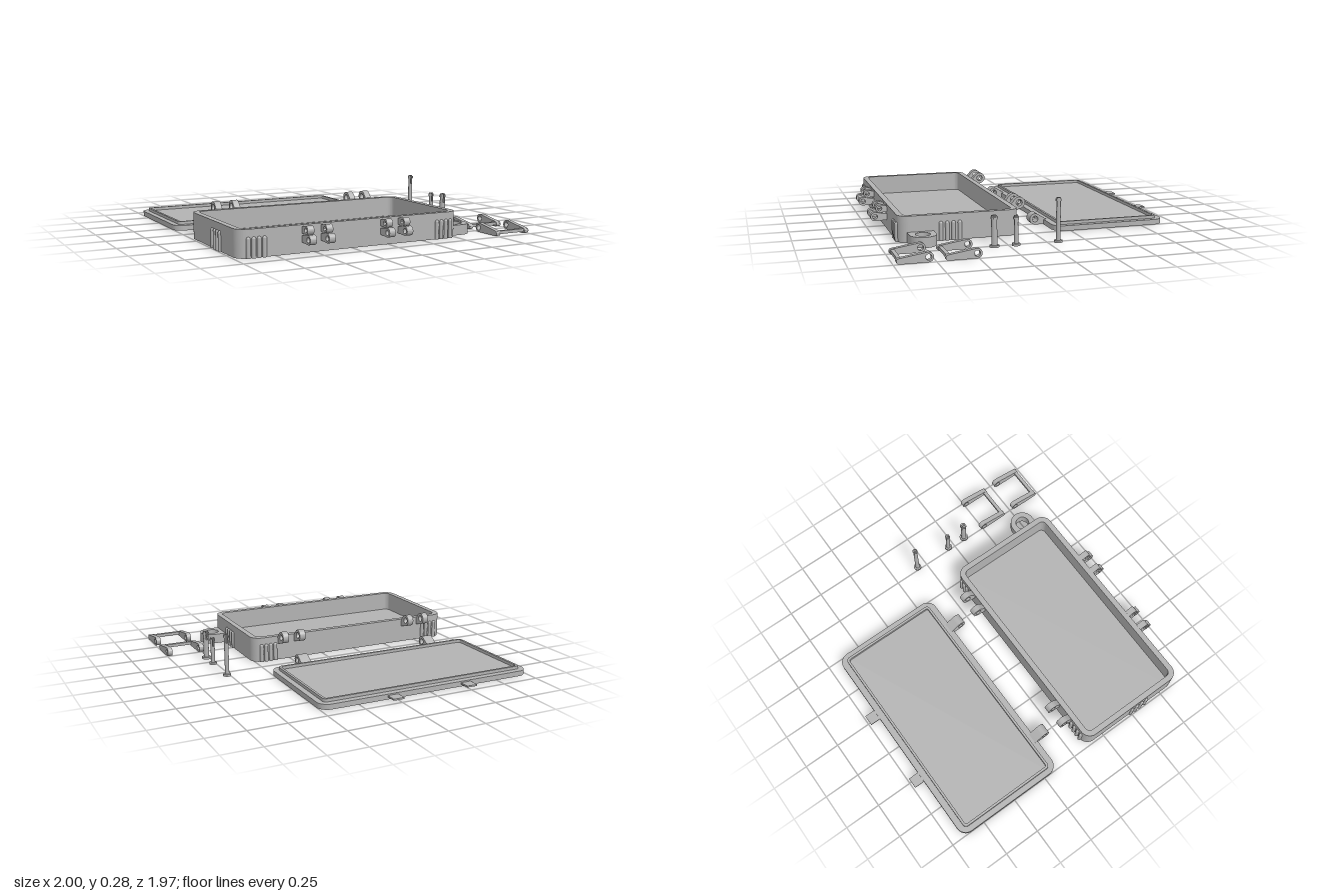
import * as THREE from 'three';
import { toCreasedNormals } from 'three/addons/utils/BufferGeometryUtils.js';

export function createModel() {
  const model = new THREE.Group();
  const grey = new THREE.MeshStandardMaterial({ color: 0xb2b2b2 });
  grey.name = 'grey plastic';

  const add = (parent, name, geometry, x = 0, y = 0, z = 0) => {
    const mesh = new THREE.Mesh(geometry, grey);
    mesh.name = name;
    mesh.position.set(x, y, z);
    parent.add(mesh);
    return mesh;
  };
  const group = (name, x = 0, y = 0, z = 0) => {
    const g = new THREE.Group();
    g.name = name;
    g.position.set(x, y, z);
    model.add(g);
    return g;
  };
  const extrude = (shape, depth) =>
    new THREE.ExtrudeGeometry(shape, { depth, bevelEnabled: false, curveSegments: 16 });
  // plan outline raised upward
  const rise = (shape, h) => toCreasedNormals(extrude(shape, h).rotateX(-Math.PI / 2), 0.6);
  // side outline (z, y) spanning x0..x1
  const span = (shape, x0, x1) =>
    toCreasedNormals(extrude(shape, x1 - x0).rotateY(-Math.PI / 2).translate(x1, 0, 0), 0.6);

  function roundRect(w, d, r) {
    const s = new THREE.Shape(), x = w / 2 - r, y = d / 2 - r, q = Math.PI / 2;
    s.absarc(x, y, r, 0, q);
    s.absarc(-x, y, r, q, 2 * q);
    s.absarc(-x, -y, r, 2 * q, 3 * q);
    s.absarc(x, -y, r, 3 * q, 4 * q);
    s.closePath();
    return s;
  }
  const frame = (outer, inner) => {
    outer.holes.push(inner);
    return outer;
  };
  const circle = (x, y, r) => new THREE.Path().absarc(x, y, r, 0, Math.PI * 2, true);

  // tapered link between two circles, with a pin hole in the first
  function link(z1, y1, r1, z2, y2, r2, hole) {
    const a = Math.atan2(y2 - y1, z2 - z1);
    const b = Math.acos((r1 - r2) / Math.hypot(z2 - z1, y2 - y1));
    const s = new THREE.Shape();
    s.absarc(z1, y1, r1, a + b, a - b + Math.PI * 2);
    s.absarc(z2, y2, r2, a - b, a + b);
    s.closePath();
    s.holes.push(circle(z1, y1, hole));
    return s;
  }

  // box tray
  const box = group('box');
  const cx = -0.235, cz = 0.492, W = 1.5, D = 0.775;
  add(box, 'boxFloor', rise(roundRect(W, D, 0.07), 0.035), cx, 0, cz);
  add(box, 'boxWalls', rise(frame(roundRect(W, D, 0.07), roundRect(W - 0.075, D - 0.075, 0.035)), 0.132),
    cx, 0.035, cz);

  // grip ribs near the corners and on the ends
  const rib = new THREE.CapsuleGeometry(0.013, 0.11, 6, 12).translate(0, 0.055, 0);
  const ribPos = rib.attributes.position;
  for (let i = 0; i < ribPos.count; i++) ribPos.setY(i, Math.max(0, ribPos.getY(i)));
  for (let i = 0; i < 4; i++) {
    for (const z of [cz - D / 2, cz + D / 2])
      for (const x of [-0.92, 0.355]) add(box, 'gripRib', rib, x + i * 0.0335, 0, z);
    for (const x of [cx - W / 2, cx + W / 2]) add(box, 'gripRib', rib, x, 0, 0.493 + i * 0.04);
  }

  // hinge lugs at the back, latch lugs at the front
  for (const x of [-0.81, -0.685, 0.17, 0.293])
    add(box, 'hingeLug', span(link(0.047, 0.17, 0.039, 0.12, 0.125, 0.014, 0.021), x, x + 0.043));
  for (const x of [-0.583, -0.46, -0.055, 0.068]) {
    add(box, 'latchLugUpper', span(link(0.926, 0.14, 0.026, 0.862, 0.135, 0.017, 0.014), x, x + 0.043));
    add(box, 'latchLugLower', span(link(0.957, 0.088, 0.029, 0.862, 0.083, 0.018, 0.016), x, x + 0.043));
  }

  // key ring loop
  const loop = new THREE.Shape();
  loop.moveTo(-0.1, -0.085);
  loop.lineTo(0, -0.085);
  loop.absarc(0, 0, 0.085, -Math.PI / 2, Math.PI / 2);
  loop.lineTo(-0.1, 0.085);
  loop.closePath();
  loop.holes.push(circle(0, 0, 0.047));
  add(box, 'keyLoop', rise(loop, 0.066), 0.588, 0, 0.742);

  // lid lying upside down: plate, raised rim, hinge knuckles and latch tabs
  const lid = group('lid');
  const lx = -0.25, lz = -0.53;
  add(lid, 'lidPlate', rise(roundRect(W, D, 0.07), 0.034), lx, 0, lz);
  add(lid, 'lidRim', rise(frame(roundRect(1.425, 0.69, 0.025), roundRect(1.393, 0.658, 0.015)), 0.02),
    lx, 0.034, lz);
  for (const x of [-0.775, 0.205])
    add(lid, 'hingeKnuckle', span(link(-0.083, 0.04, 0.037, -0.16, 0.018, 0.015, 0.02), x, x + 0.073));
  for (const x of [-0.513, 0.016])
    add(lid, 'latchTab', new THREE.BoxGeometry(0.073, 0.01, 0.1), x, 0.02, -0.938);

  // two loose latch clips
  for (const z of [0.48, 0.765]) {
    const clip = group('latchClip', 0, 0, z);
    const arm = link(0.031, 0.031, 0.03, 0.2, 0.018, 0.017, 0.018);
    for (const x of [0.742, 0.968]) add(clip, 'clipArm', span(arm, x, x + 0.032));
    add(clip, 'clipBar', new THREE.BoxGeometry(0.2, 0.02, 0.024), 0.871, 0.022, 0.198);
  }

  // split-tip hinge pins: z, height, shaft radius, head radius
  const pins = [[-0.066, 0.282, 0.014, 0.026], [0.206, 0.186, 0.014, 0.026], [0.344, 0.196, 0.018, 0.03]];
  for (const [z, h, r, head] of pins) {
    const pin = group('hingePin', 0.77, 0, z);
    const slit = 0.06;
    add(pin, 'pinHead', new THREE.CylinderGeometry(head, head, 0.014, 24), 0, 0.007, 0);
    add(pin, 'pinShaft', new THREE.CylinderGeometry(r, r, h - slit, 20), 0, (h - slit) / 2, 0);
    for (const side of [0, Math.PI]) {
      const half = (radius) => {
        const a = Math.acos(0.005 / radius);
        const s = new THREE.Shape();
        s.absarc(0, 0, radius, side - a, side + a);
        s.closePath();
        return s;
      };
      add(pin, 'pinProng', rise(half(r), slit), 0, h - slit, 0);
      add(pin, 'pinBarb', rise(half(r + 0.004), 0.014), 0, h - 0.022, 0);
    }
  }
  return model;
}
